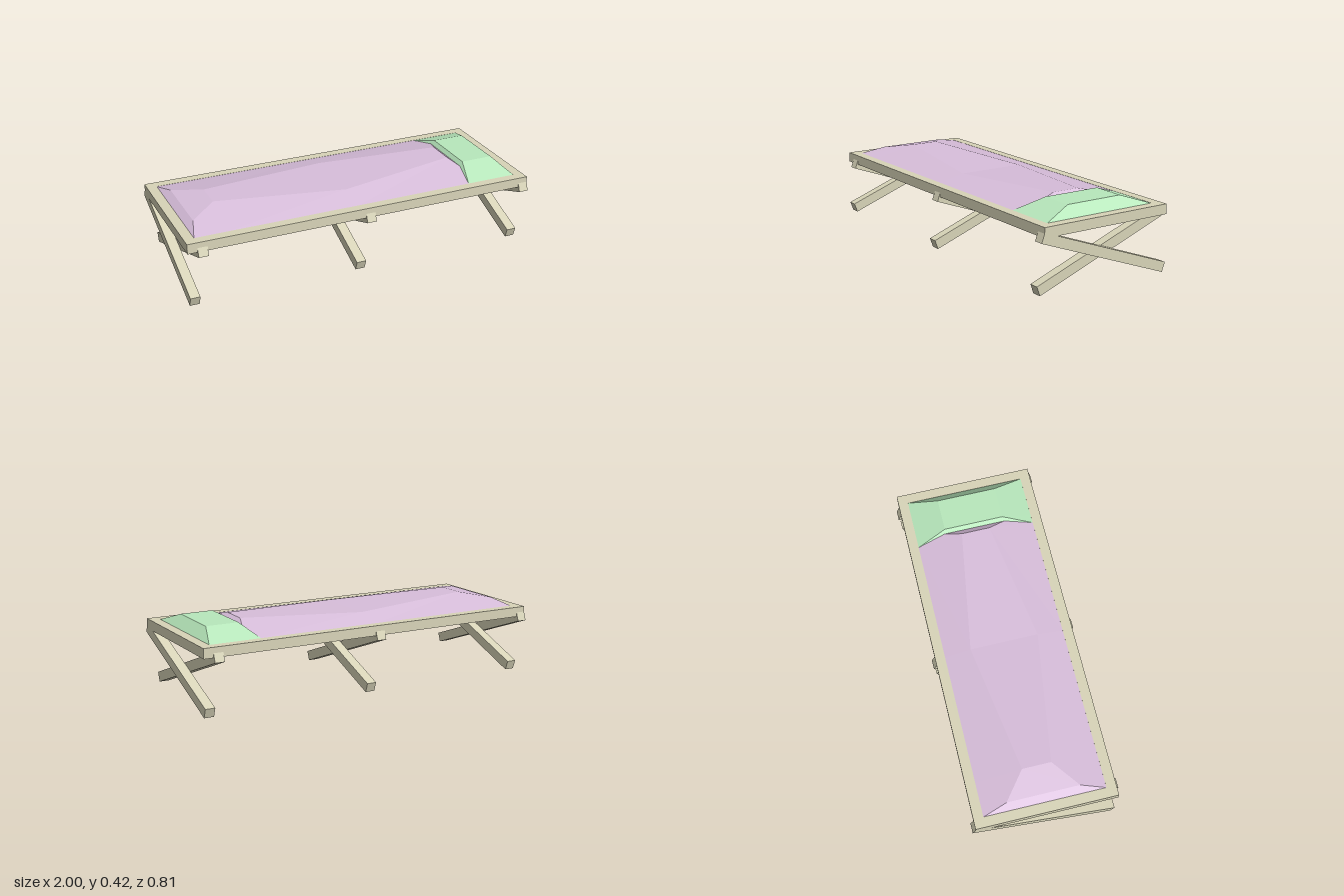
import * as THREE from 'three';

const RIM = 0.335; // half width of the frame opening

const paint = (color, side = THREE.FrontSide) =>
  new THREE.MeshStandardMaterial({ color, flatShading: true, side });

function addMesh(parent, name, geometry, material) {
  const mesh = new THREE.Mesh(geometry, material);
  mesh.name = name;
  parent.add(mesh);
  return mesh;
}

// Faceted cloth: stations [x, half width of the plateau, y], with sides falling to a straight rim.
function clothGeometry(stations, rimY, facesUp) {
  const points = [], index = [];
  for (const [x, half, y] of stations) {
    points.push(x, rimY, -RIM, x, y, -half, x, y, half, x, rimY, RIM);
  }
  for (let i = 0; i < stations.length - 1; i++) {
    for (let j = 0; j < 3; j++) {
      const a = i * 4 + j, b = a + 1, c = a + 4, d = a + 5;
      index.push(...(facesUp ? [a, b, c, b, d, c] : [a, c, b, b, c, d]));
    }
  }
  const geometry = new THREE.BufferGeometry();
  geometry.setAttribute('position', new THREE.Float32BufferAttribute(points, 3));
  geometry.setIndex(index);
  const flat = geometry.toNonIndexed();
  flat.computeVertexNormals();
  return flat;
}

function rectangle(Type, w, d) {
  return new Type([[-w, -d], [w, -d], [w, d], [-w, d]].map(([x, y]) => new THREE.Vector2(x, y)));
}

export function createModel() {
  const cot = new THREE.Group();
  cot.name = 'campCot';
  const wood = paint(0xd8d4b8);

  // Rectangular rail frame
  const outline = rectangle(THREE.Shape, 1, 0.39);
  outline.holes.push(rectangle(THREE.Path, 0.945, RIM));
  const frameGeometry = new THREE.ExtrudeGeometry(outline, { depth: 0.055, bevelEnabled: false });
  frameGeometry.rotateX(-Math.PI / 2);
  addMesh(cot, 'frame', frameGeometry, wood).position.y = 0.311;

  // Three pairs of crossed legs, side by side where they cross
  const legGeometry = new THREE.BoxGeometry(0.054, 0.055, 0.833);
  for (const [name, x] of [['rightLegs', -0.946], ['middleLegs', -0.001], ['leftLegs', 0.946]]) {
    const pair = new THREE.Group();
    pair.name = name;
    pair.position.set(x, 0.17, 0);
    for (const side of [-1, 1]) {
      const leg = addMesh(pair, side < 0 ? 'legRisingToBack' : 'legRisingToFront', legGeometry, wood);
      leg.position.set(side * 0.027, 0, side * 0.007);
      leg.rotation.x = -side * 0.352;
    }
    cot.add(pair);
  }

  // Sagging canvas under the frame
  addMesh(cot, 'canvas', clothGeometry([
    [-0.945, RIM, 0.32], [-0.77, 0.185, 0.265], [-0.43, 0.075, 0.225],
    [0.3, 0.075, 0.225], [0.72, 0.185, 0.265], [0.945, RIM, 0.32],
  ], 0.32, false), paint(0x5f8264, THREE.DoubleSide));

  // Blanket with a shallow dip in the middle
  addMesh(cot, 'blanket', clothGeometry([
    [-0.945, RIM, 0.365], [-0.905, 0.2, 0.395], [-0.755, 0.08, 0.422], [-0.03, 0.19, 0.4],
    [0.655, 0.08, 0.422], [0.695, 0.2, 0.395], [0.735, RIM, 0.365],
  ], 0.365, true), paint(0xd8bedb, THREE.DoubleSide));

  // Pillow
  addMesh(cot, 'pillow', clothGeometry([
    [0.655, RIM, 0.365], [0.705, 0.168, 0.422], [0.89, 0.168, 0.422], [0.945, RIM, 0.365],
  ], 0.365, true), paint(0xb8e8bc, THREE.DoubleSide));

  return cot;
}
